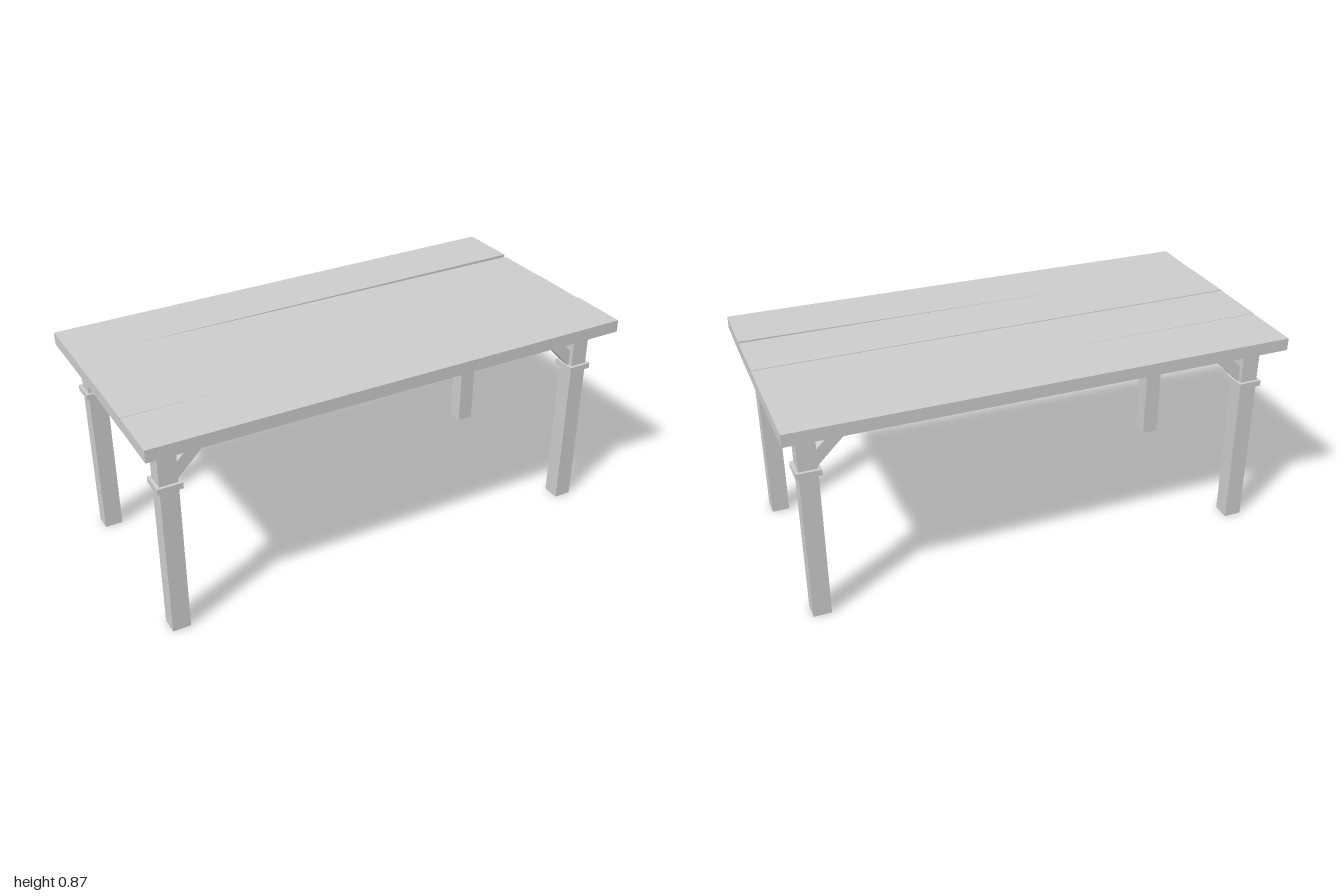
import * as THREE from 'three';

export function createModel() {
  const table = new THREE.Group();
  table.name = 'table';
  const wood = new THREE.MeshStandardMaterial({ color: 0xcccccc, flatShading: true });

  const add = (parent, name, geometry, x, y, z) => {
    const mesh = new THREE.Mesh(geometry, wood);
    mesh.name = name;
    mesh.position.set(x, y, z);
    parent.add(mesh);
    return mesh;
  };

  // Tabletop planks, each laid slightly askew: z, y, width, roll, yaw, pitch
  const top = new THREE.Group();
  top.name = 'tabletop';
  table.add(top);
  const planks = [
    [-0.379, 0.8405, 0.248, 0, 0.005, 0.004],
    [-0.1255, 0.838, 0.249, 0, 0, 0],
    [0.125, 0.8385, 0.249, 0.01, 0.001, 0],
    [0.371, 0.8385, 0.248, 0, -0.008, 0.0025],
  ];
  for (const [z, y, width, roll, yaw, pitch] of planks) {
    const plank = add(top, 'plank', new THREE.BoxGeometry(1.998, 0.05, width), 0, y, z);
    plank.rotation.set(roll, yaw, pitch);
  }

  // Diagonal brace outline: runs from the post face outwards and up
  const outline = new THREE.Shape([
    [0.02, 0.63], [0.19, 0.8], [0.208, 0.818], [0.14, 0.818], [0.02, 0.698],
  ].map(([x, y]) => new THREE.Vector2(x, y)));
  const braceDepth = 0.036;
  const braceGeometry = new THREE.ExtrudeGeometry(outline, { depth: braceDepth, bevelEnabled: false });
  braceGeometry.translate(0, 0, -braceDepth / 2);

  // Four legs, each with a post, a collar and two inward braces
  for (const sx of [-1, 1]) {
    for (const sz of [-1, 1]) {
      const leg = new THREE.Group();
      leg.name = 'leg';
      leg.position.set(sx * 0.9, 0, sz * 0.375);
      table.add(leg);
      add(leg, 'post', new THREE.BoxGeometry(0.072, 0.82, 0.072), 0, 0.41, 0);
      add(leg, 'collar', new THREE.BoxGeometry(0.097, 0.023, 0.097), 0, 0.638, 0);
      add(leg, 'longBrace', braceGeometry, 0, 0, 0).rotation.y = sx > 0 ? Math.PI : 0;
      add(leg, 'crossBrace', braceGeometry, 0, 0, 0).rotation.y = sz * Math.PI / 2;
    }
  }
  return table;
}
